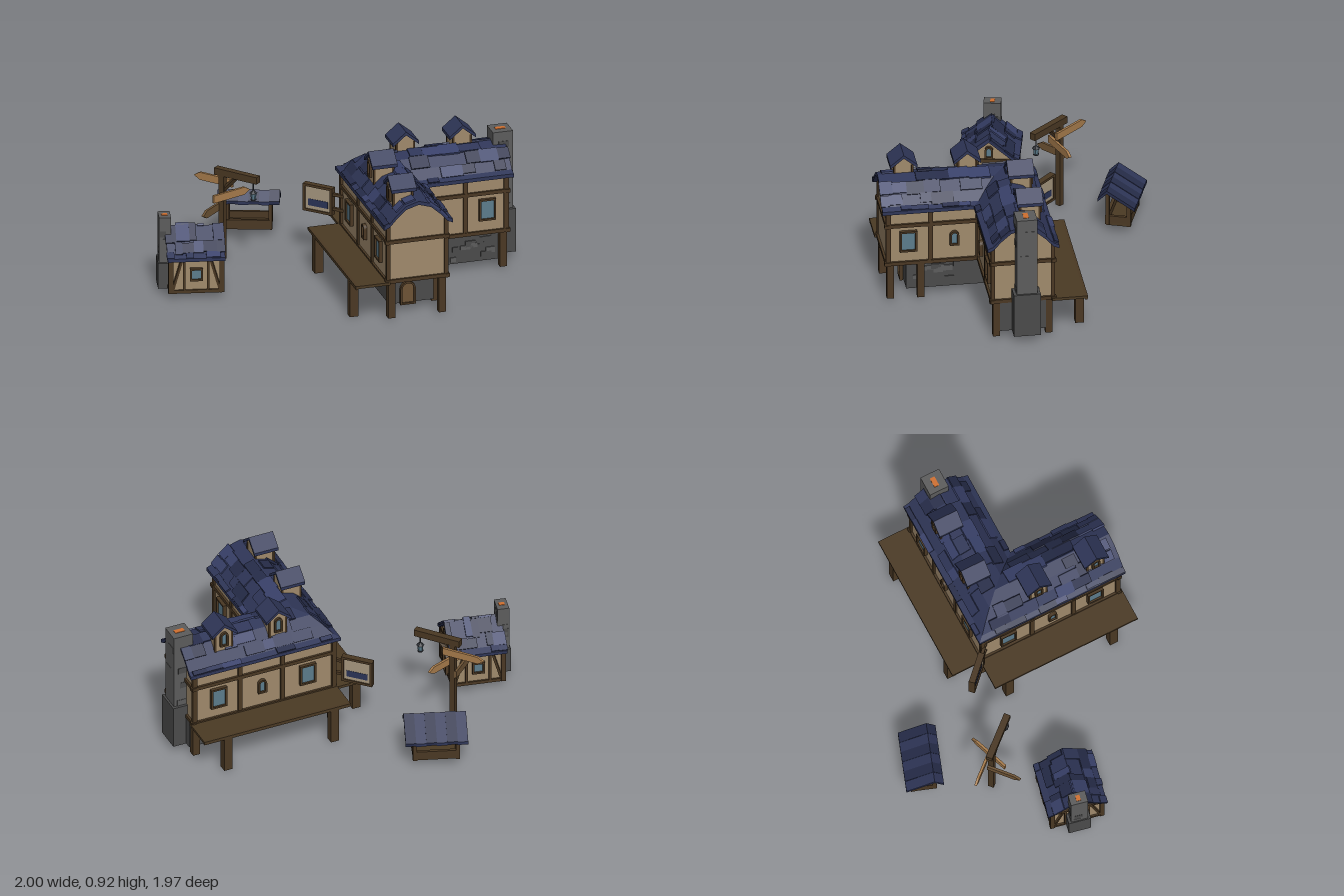
import * as THREE from 'three';

const mat = (color) => new THREE.MeshStandardMaterial({ color, flatShading: true });
const M = {
  roof: mat(0x2f3658), roof2: mat(0x262c49), roof3: mat(0x39416a), wall: mat(0xa08a6c), timber: mat(0x4a3823),
  deck: mat(0x4b3a24), stone: mat(0x4b4b4b), stone2: mat(0x5c5c5c), glass: mat(0x5c7c8c), sign: mat(0xa89880),
  arrow: mat(0xa87c4c), iron: mat(0x33363c), door: mat(0x6d5335), ember: mat(0xd07030), blue: mat(0x2c3558),
};
let seed = 7;
const rnd = () => (seed = (seed * 16807) % 2147483647) / 2147483647;
const ROOFS = [M.roof, M.roof2, M.roof3];

function add(parent, name, geo, m, x = 0, y = 0, z = 0) {
  const mesh = new THREE.Mesh(geo, m);
  mesh.name = name;
  mesh.position.set(x, y, z);
  parent.add(mesh);
  return mesh;
}
const box = (p, name, m, w, h, d, x, y, z) => add(p, name, new THREE.BoxGeometry(w, h, d), m, x, y, z);
function group(parent, name, x = 0, y = 0, z = 0, ry = 0) {
  const g = new THREE.Group();
  g.name = name;
  g.position.set(x, y, z);
  g.rotation.y = ry;
  parent.add(g);
  return g;
}
// square beam from point a to point b
function beam(p, name, m, a, b, t) {
  const A = new THREE.Vector3(...a), B = new THREE.Vector3(...b);
  const mesh = box(p, name, m, t, t, A.distanceTo(B), 0, 0, 0);
  mesh.position.copy(A).add(B).multiplyScalar(0.5);
  mesh.quaternion.setFromUnitVectors(new THREE.Vector3(0, 0, 1), B.sub(A).normalize());
  return mesh;
}
const poly = (pts) => new THREE.Shape(pts.map((q) => new THREE.Vector2(q[0], q[1])));
const band = (pts, t) => poly([...pts, ...[...pts].reverse().map(([x, y]) => [x, y - t])]);
const extrude = (shape, depth) => new THREE.ExtrudeGeometry(shape, { depth, bevelEnabled: false, curveSegments: 5 });
const centred = (shape, depth) => extrude(shape, depth).translate(0, 0, -depth / 2);

// opening outline, round-headed if arched
function outline(w, h, arched) {
  const s = new THREE.Shape();
  s.moveTo(-w / 2, -h / 2);
  s.lineTo(w / 2, -h / 2);
  if (arched) { s.lineTo(w / 2, h / 2 - w / 2); s.absarc(0, h / 2 - w / 2, w / 2, 0, Math.PI, false); }
  else { s.lineTo(w / 2, h / 2); s.lineTo(-w / 2, h / 2); }
  return s;
}
// framed window or door that faces the group's +z
function opening(parent, name, x, y, z, ry, w, h, arched, fill = M.glass) {
  const g = group(parent, name, x, y, z, ry), f = 0.012;
  const frame = outline(w + 2 * f, h + 2 * f, arched);
  frame.holes.push(outline(w, h, arched));
  add(g, 'frame', extrude(frame, 0.022), M.timber);
  add(g, 'pane', extrude(outline(w, h, arched), 0.01), fill);
}
// loose shingles along x, lying on a profile given in (z, y)
function shingles(parent, pts, x0, x1, size, keep) {
  for (let i = 0; i + 1 < pts.length; i++) {
    const [za, ya] = pts[i], [zb, yb] = pts[i + 1], dz = zb - za, dy = yb - ya, len = Math.hypot(dz, dy);
    for (let x = x0(za, zb); x < x1 - size * 0.5;) {
      const w = Math.min(size * (0.6 + 0.7 * rnd()), x1 - x);
      if (rnd() < keep) {
        const k = (rnd() - 0.5) * 0.2;
        const m = box(parent, 'shingle', ROOFS[Math.floor(rnd() * 3)], w, 0.014, len * (0.8 + 0.35 * rnd()),
          x + w / 2, (ya + yb) / 2 + dy * k + 0.003, (za + zb) / 2 + dz * k);
        m.rotation.x = -Math.atan2(dy, dz) + (rnd() - 0.5) * 0.06;
      }
      x += w;
    }
  }
}
function dormer(parent, x, z, ry) {
  const g = group(parent, 'dormer', x, 0, z, ry);
  add(g, 'dormerWall', centred(poly([[-.06, .68], [.06, .68], [.06, .85], [0, .9], [-.06, .85]]), 0.13), M.wall);
  add(g, 'dormerRoof', centred(band([[-.085, .85], [0, .92], [.085, .85]], 0.022), 0.165), M.roof);
  for (const s of [-1, 1]) for (const d of [-1, 1]) box(g, 'dormerPost', M.timber, 0.014, 0.16, 0.014, s * .056, .765, d * .061);
  opening(g, 'dormerWindow', 0, .805, .06, 0, .03, .08, true);
}

// roof section: distance from the outer eave, height
const HALF = [[0, .645], [.035, .66], [.085, .715], [.145, .768], [.225, .792]];
const ARCH = [...HALF, ...HALF.slice(0, 4).reverse().map(([o, y]) => [.45 - o, y])];

// one wing runs along +x; sg is the side (z) the body lies on; the start is mitred
function wing(parent, sg, ry, dormers, baseEnd) {
  const g = group(parent, 'innWing', 0, 0, 0, ry), face = sg > 0 ? Math.PI : 0;
  const mitred = (name, shape, len, m) => {
    const geo = extrude(shape, len).rotateY(Math.PI / 2), p = geo.attributes.position;
    for (let i = 0; i < p.count; i++) if (p.getX(i) < 0.001) p.setX(i, Math.abs(p.getZ(i)));
    geo.computeVertexNormals();
    add(g, name, geo, m);
  };
  const toShape = ([o, y]) => [-sg * o, y];
  const under = ARCH.filter(([o]) => o > .04 && o < .41).map(([o, y]) => [o, y - .012]);
  mitred('upperWall', poly([[.035, .25], [.035, .65], ...under, [.415, .65], [.415, .25]].map(toShape)), .99, M.wall);
  mitred('roof', band(ARCH.map(toShape), .024), 1.025, M.roof);
  shingles(g, ARCH.map(([o, y]) => [sg * o, y]), (a, b) => Math.max(Math.abs(a), Math.abs(b)) + .02, 1.03, .11, .6);
  // timber frame
  for (const y of [.26, .525]) {
    box(g, 'outerBeam', M.timber, .99, .024, .024, .515, y, sg * .033);
    box(g, 'innerBeam', M.timber, .61, .024, .024, .705, y, sg * .417);
    box(g, 'gableBeam', M.timber, .024, .024, .42, .992, y, sg * .225);
  }
  for (const s of [.035, .384, .675, .985]) box(g, 'outerPost', M.timber, .03, .4, .024, s, .45, sg * .036);
  for (const s of [.42, .72, .985]) box(g, 'innerPost', M.timber, .03, .4, .024, s, .45, sg * .414);
  // windows
  for (const [s, w, h, arc] of [[.215, .085, .12, false], [.526, .034, .075, true], [.824, .085, .12, false]])
    opening(g, 'outerWindow', s, .415, sg * .035, face, w, h, arc);
  for (const [s, w, h, arc] of [[.57, .034, .075, true], [.86, .085, .12, false]])
    opening(g, 'innerWindow', s, .415, sg * .415, face + Math.PI, w, h, arc);
  for (const s of dormers) dormer(g, s, sg * .155, face);
  // stone ground floor
  box(g, 'stoneBase', M.stone, baseEnd - .08, .21, .29, (baseEnd + .08) / 2, .155, sg * .225);
  for (let i = 0; i < 26; i++) {
    const outer = i % 2, s = (outer ? .12 : .45) + rnd() * (baseEnd - (outer ? .17 : .5));
    box(g, 'baseStone', rnd() < .5 ? M.stone : M.stone2, .035 + .035 * rnd(), .025 + .015 * rnd(), .014,
      s, .075 + .16 * rnd(), sg * (outer ? .08 : .37));
  }
  // raised deck and its legs
  box(g, 'deck', M.deck, 1.0, .018, .225, .515, .253, sg * -.07);
  box(g, 'deckEdge', M.timber, 1.0, .024, .016, .515, .25, sg * -.172);
  for (const s of [.12, .85]) box(g, 'deckLeg', M.timber, .055, .25, .055, s, .125, sg * -.15);
  for (const o of [.06, .39]) box(g, 'cornerLeg', M.timber, .045, .25, .045, .97, .135, sg * o);
  box(g, 'outerCornerLeg', M.timber, .04, .25, .04, .045, .135, sg * .045);
  return g;
}
function chimney(parent, x, z, w, d, y0, y1, baseTop) {
  const g = group(parent, 'chimney', x, 0, z), h = y1 - y0;
  box(g, 'stack', M.stone2, w, h, d, 0, (y0 + y1) / 2, 0);
  box(g, 'chimneyBase', M.stone, w * 1.2, baseTop - y0, d * 1.3, 0, (y0 + baseTop) / 2, 0);
  for (let i = 0; i < 22; i++) {
    const a = (i % 4) * Math.PI / 2, sx = Math.round(Math.cos(a)), sz = Math.round(Math.sin(a));
    box(g, 'chimneyStone', i % 3 ? M.stone2 : M.stone, w * .5, .04, d * .5,
      sx * w * .27 + sz * (rnd() - .5) * w * .4, y0 + .04 + (h - .08) * rnd(), sz * d * .27 + sx * (rnd() - .5) * d * .4);
  }
  box(g, 'flue', M.ember, w * .5, .004, d * .25, 0, y1 + .001, 0);
}

function inn(root) {
  const g = group(root, 'inn', -.07, 0, -.107, -.715);
  const b = wing(g, -1, 0, [.46, .86], .865);
  const a = wing(g, 1, Math.PI / 2, [.39, .76], 1.0);
  opening(b, 'innDoor', .866, .12, -.2, Math.PI / 2, .075, .13, true, M.door);
  box(b, 'innerLeg', M.timber, .045, .25, .045, .78, .135, -.4);
  chimney(a, 1.01, .21, .13, .13, .05, .86, .34);
  // hanging sign at the outer corner
  const s = group(root, 'hangingSign', -.175, .41, -.085, .07);
  box(s, 'signBoard', M.sign, .18, .16, .024, 0, 0, 0);
  box(s, 'signPanel', M.blue, .14, .045, .028, 0, -.03, 0);
  for (const k of [-1, 1]) {
    box(s, 'signRail', M.timber, .205, .016, .04, 0, k * .083, 0);
    box(s, 'signStile', M.timber, .016, .18, .04, k * .095, 0, 0);
    box(s, 'signArm', M.timber, .12, .018, .02, .145, k * .048, 0);
  }
}

function hut(root) {
  const g = group(root, 'hut', -.6, 0, .707, .6435), r = .16;
  const half = [[-.19, .275], [-.15, .295], [-.09, .345], [0, .42]];
  const prof = [...half, ...half.slice(0, 3).reverse().map(([x, y]) => [-x, y])];
  add(g, 'hutWall', centred(poly([[-r, .04], [r, .04], [r, .28], [.09, .335], [0, .405], [-.09, .335], [-r, .28]]), .32)
    .rotateY(Math.PI / 2), M.wall);
  add(g, 'hutRoof', centred(band(prof, .022), .36).rotateY(Math.PI / 2), M.roof);
  shingles(g, prof, () => -.185, .185, .07, .65);
  for (let i = 0; i < 4; i++) {
    const side = group(g, 'hutFrame', 0, 0, 0, i * Math.PI / 2);
    for (const y of [.045, .265]) box(side, 'sill', M.timber, .34, .022, .022, 0, y, r);
    for (const k of [-1, 1]) {
      box(side, 'stud', M.timber, .016, .22, .018, k * .075, .155, r);
      beam(side, 'brace', M.timber, [k * .15, .05, r + .003], [k * .09, .26, r + .003], .016);
      if (k > 0) box(side, 'cornerPost', M.timber, .03, .24, .03, r, .155, r);
    }
    if (i % 2 === 0) opening(side, 'hutWindow', 0, .16, r, 0, .055, .06, false);
  }
  opening(g, 'hutDoor', r, .12, 0, Math.PI / 2, .075, .13, true, M.door);
  opening(g, 'gableWindow', r, .325, 0, Math.PI / 2, .028, .06, true);
  chimney(g, -.185, 0, .075, .11, .03, .5, .2);
}

function shed(root) {
  const g = group(root, 'roadsideStall', -.77, 0, -.224, .513);
  // band sections are drawn in (-z, y), then turned along x
  const prof = [[.118, .205], [-.06, .312], [-.118, .255]];
  for (let i = 0; i < 6; i++)
    add(g, 'roofPlank', centred(band(prof, .022), .066).rotateY(Math.PI / 2), ROOFS[i % 2], -.163 + i * .065, (i % 2) * .004, 0);
  box(g, 'floor', M.deck, .29, .02, .15, 0, .06, 0);
  for (const k of [-1, 1]) {
    box(g, 'longRail', M.timber, .29, .06, .02, 0, .085, k * .07);
    box(g, 'endRail', M.timber, .02, .06, .15, k * .135, .085, 0);
    box(g, 'backPost', M.timber, .024, .17, .024, k * .135, .135, -.07);
    box(g, 'frontPost', M.timber, .024, .22, .024, k * .135, .165, .065);
    beam(g, 'rafter', M.timber, [k * .135, .205, -.08], [k * .135, .28, .05], .018);
  }
}

function signpost(root) {
  const g = group(root, 'signpost', -.69, 0, .22);
  box(g, 'post', M.timber, .036, .6, .036, 0, .3, 0);
  box(g, 'crossBeam', M.timber, .31, .046, .042, .105, .587, 0);
  beam(g, 'brace', M.timber, [.01, .47, 0], [.1, .57, 0], .022);
  // pointing boards: height, heading, length, offset
  const heads = [[.512, Math.PI, .28, .08, M.arrow], [.43, 1.2, .28, .05, M.arrow], [.35, -1.57, .22, .09, M.door]];
  for (const [y, ry, len, off, m] of heads) {
    const a = group(g, 'arrowBoard', 0, y, 0, ry), h = .025, e = off + len / 2;
    add(a, 'board', centred(poly([[off - len / 2, -h], [e - .04, -h], [e, 0], [e - .04, h], [off - len / 2, h]]), .016), m, 0, 0, .024);
  }
  // lantern
  const l = group(g, 'lantern', .225, 0, 0);
  box(l, 'hook', M.iron, .006, .07, .006, 0, .535, 0);
  add(l, 'lanternCap', new THREE.CylinderGeometry(.006, .026, .018, 6), M.iron, 0, .502, 0);
  add(l, 'lanternGlass', new THREE.CylinderGeometry(.02, .015, .04, 6), M.glass, 0, .473, 0);
  add(l, 'lanternFoot', new THREE.CylinderGeometry(.019, .019, .008, 6), M.iron, 0, .45, 0);
}

export function createModel() {
  const root = new THREE.Group();
  root.name = 'crossroadsHamlet';
  inn(root);
  hut(root);
  shed(root);
  signpost(root);
  return root;
}
